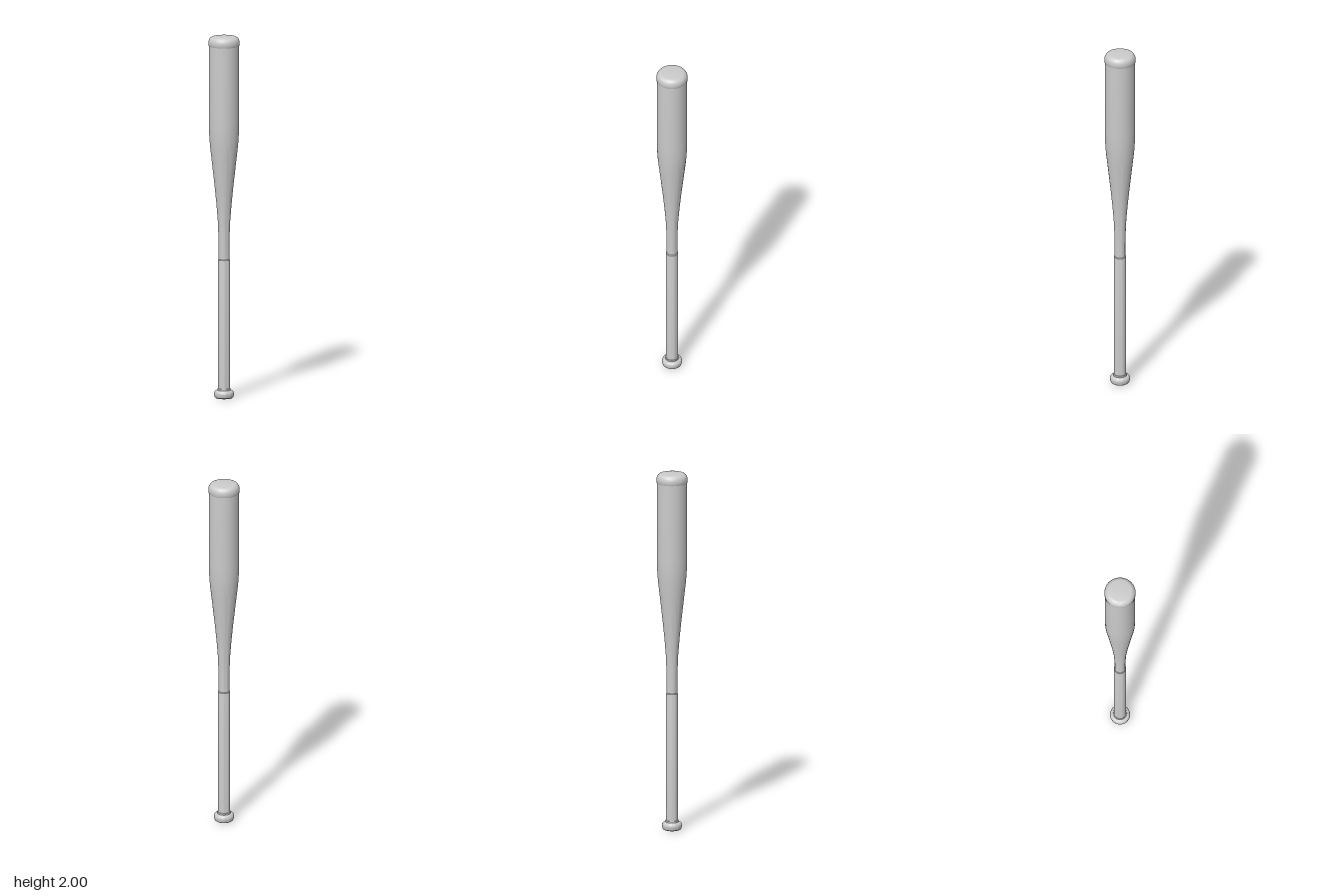
import * as THREE from 'three';
import { toCreasedNormals } from 'three/addons/utils/BufferGeometryUtils.js';

const SIDES = 48;
const material = new THREE.MeshStandardMaterial({ color: 0xcccccc });

// Turned part from [radius, height] pairs, listed bottom to top
function turned(name, profile) {
  const points = profile.map(([r, y]) => new THREE.Vector2(r, y));
  const geometry = toCreasedNormals(new THREE.LatheGeometry(points, SIDES), 0.6);
  const mesh = new THREE.Mesh(geometry, material);
  mesh.name = name;
  return mesh;
}

// Quarter-round edge from the side wall (radius) inward to the flat top
function roundedTop(radius, top, width, height, steps = 6) {
  return Array.from({ length: steps + 1 }, (_, i) => {
    const a = (i / steps) * Math.PI / 2;
    return [radius - width * (1 - Math.cos(a)), top - height * (1 - Math.sin(a))];
  });
}

export function createModel() {
  const bat = new THREE.Group();
  bat.name = 'bat';

  // Rounded disc at the bottom of the handle
  bat.add(turned('knob', [
    [0, 0], [0.044, 0], [0.05, 0.004], [0.053, 0.012], [0.055, 0.024],
    [0.054, 0.032], [0.05, 0.039], [0.043, 0.043], [0.034, 0.044], [0.03, 0.044],
  ]));

  // Collar between knob and grip
  bat.add(turned('gripCollar', [[0.036, 0.04], [0.037, 0.046], [0.036, 0.052], [0.033, 0.054]]));

  // Wrapped grip, slightly thicker than the neck
  bat.add(turned('grip', [[0.034, 0.045], [0.034, 0.758], [0.033, 0.765], [0.029, 0.769]]));

  // Neck swelling smoothly into the barrel
  bat.add(turned('barrel', [
    [0.029, 0.76], [0.029, 0.84], [0.031, 0.91], [0.034, 0.98], [0.041, 1.07],
    [0.05, 1.16], [0.06, 1.25], [0.069, 1.33], [0.077, 1.4], [0.081, 1.46],
    [0.083, 1.53], [0.083, 1.96],
  ]));

  // End cap with a rounded rim and flat top
  bat.add(turned('endCap', [
    [0.082, 1.947], [0.085, 1.952], ...roundedTop(0.085, 2, 0.025, 0.032), [0, 2],
  ]));

  return bat;
}
